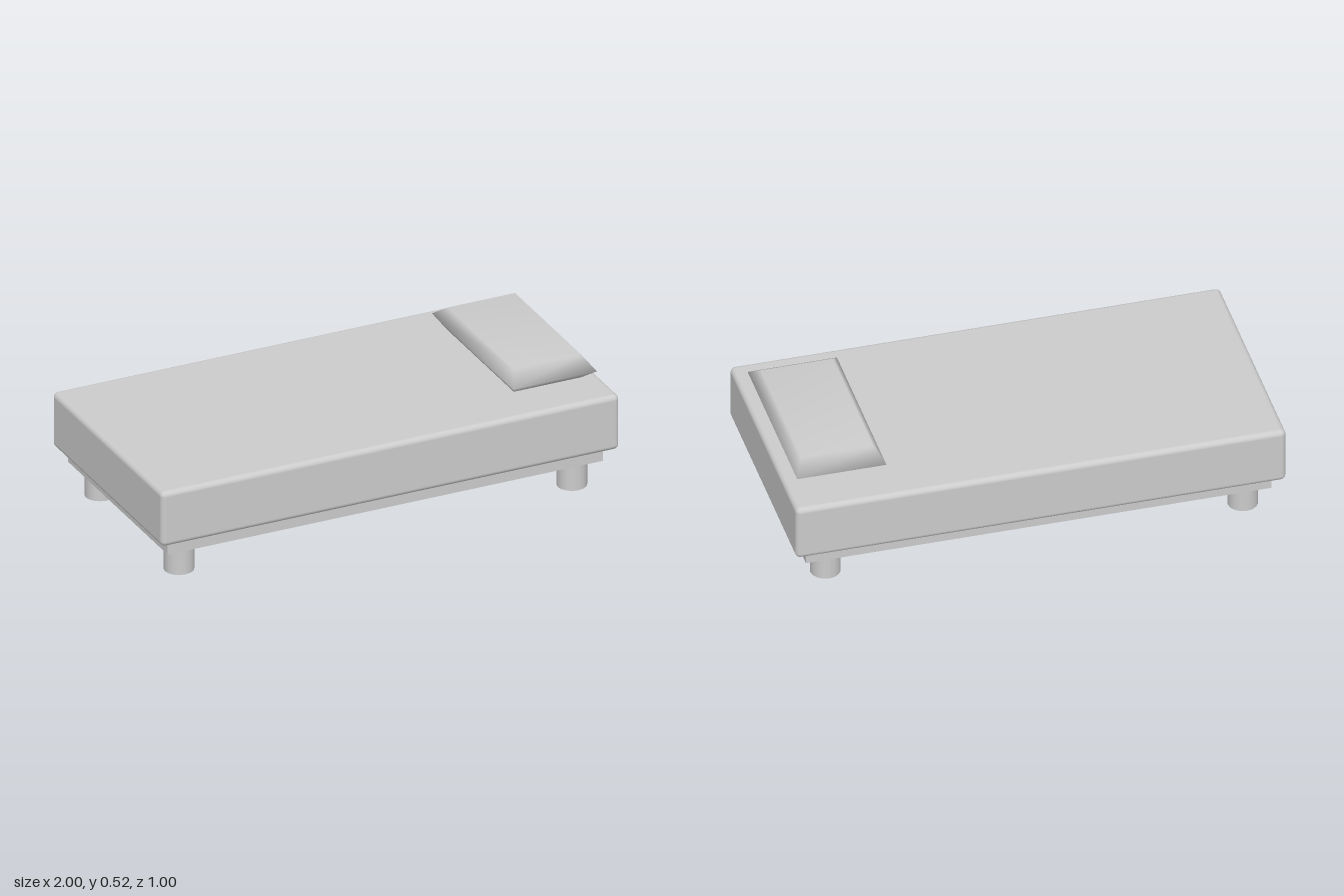
import * as THREE from 'three';
import { RoundedBoxGeometry } from 'three/addons/geometries/RoundedBoxGeometry.js';

const material = new THREE.MeshStandardMaterial({ color: 0xcccccc });
const openMaterial = new THREE.MeshStandardMaterial({ color: 0xcccccc, side: THREE.DoubleSide });

function addPart(group, name, geometry, x, y, z, mat = material) {
  const mesh = new THREE.Mesh(geometry, mat);
  mesh.name = name;
  mesh.position.set(x, y, z);
  group.add(mesh);
  return mesh;
}

// Cushion from three rectangular cross-sections, widest at mid height, softly shaded
function pillowGeometry() {
  const rings = [
    [0.147, -0.05, 0.30],
    [0.182, 0, 0.37],
    [0.147, 0.05, 0.30],
  ];
  const positions = [];
  for (const [hx, y, hz] of rings) {
    positions.push(-hx, y, hz, hx, y, hz, hx, y, -hz, -hx, y, -hz);
  }
  const index = [0, 2, 1, 0, 3, 2, 8, 9, 10, 8, 10, 11];
  for (let r = 0; r < 2; r++) {
    for (let i = 0; i < 4; i++) {
      const a = r * 4 + i;
      const b = r * 4 + (i + 1) % 4;
      index.push(a, b, b + 4, a, b + 4, a + 4);
    }
  }
  const geometry = new THREE.BufferGeometry();
  geometry.setAttribute('position', new THREE.Float32BufferAttribute(positions, 3));
  geometry.setIndex(index);
  geometry.computeVertexNormals();
  return geometry;
}

export function createModel() {
  const bed = new THREE.Group();
  bed.name = 'bed';

  // Mattress with small rounded edges
  addPart(bed, 'mattress', new RoundedBoxGeometry(2, 0.24, 1, 4, 0.022), 0, 0.3, 0);

  // Base frame under the mattress
  addPart(bed, 'baseFrame', new THREE.BoxGeometry(1.9, 0.08, 0.904), -0.002, 0.16, 0);

  // Four hollow round legs, placed slightly unevenly
  const legs = [
    ['frontLeftLeg', 0.853, 0.367],
    ['frontRightLeg', -0.86, 0.362],
    ['backLeftLeg', 0.843, -0.356],
    ['backRightLeg', -0.86, -0.356],
  ];
  const legGeometry = new THREE.CylinderGeometry(0.061, 0.061, 0.13, 16, 1, true);
  for (const [name, x, z] of legs) {
    addPart(bed, name, legGeometry, x, 0.065, z, openMaterial);
  }

  // Pillow at the head end
  addPart(bed, 'pillow', pillowGeometry(), 0.779, 0.474, 0);

  return bed;
}
